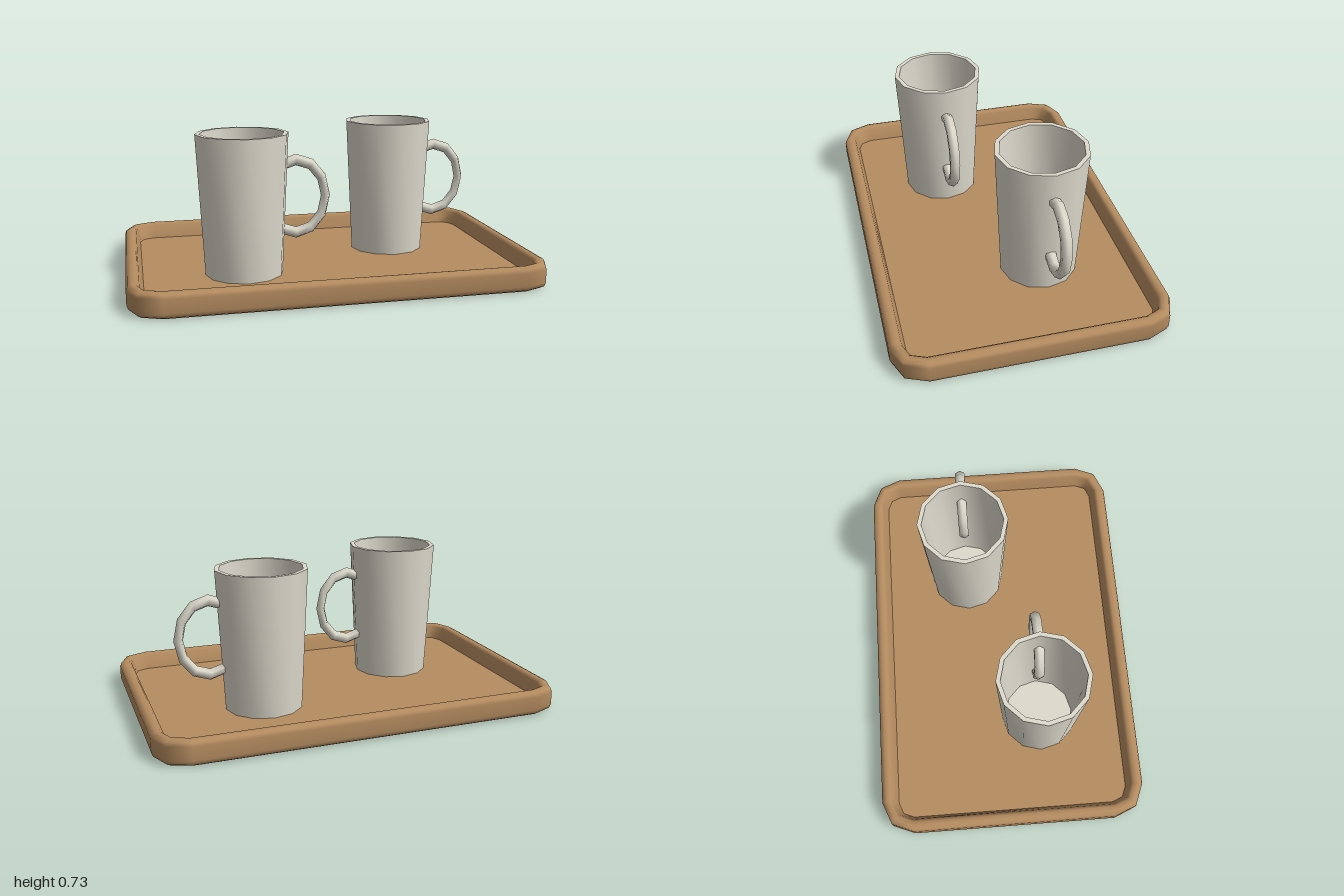
import * as THREE from 'three';
import { toCreasedNormals } from 'three/addons/utils/BufferGeometryUtils.js';

const wood = new THREE.MeshStandardMaterial({ color: 0xb58c60 });
const ceramic = new THREE.MeshStandardMaterial({ color: 0xdedacd });

// Rounded-rectangle outline, pulled in by an inset, two facets per corner
function outline(inset, y) {
  const r = 0.155 - inset;
  const pts = [];
  [[1, 1], [-1, 1], [-1, -1], [1, -1]].forEach(([sx, sz], corner) => {
    for (let k = 0; k < 3; k++) {
      const a = (corner + k / 2) * Math.PI / 2;
      pts.push([sx * 0.845 + r * Math.cos(a), y, sz * 0.51 + r * Math.sin(a)]);
    }
  });
  return pts;
}

// Tray: outline loops joined in bands, with separate flat caps
function trayGeometry() {
  const profile = [
    [0.025, 0], [0.007, 0.01], [0, 0.03], [0, 0.095], [0.007, 0.112],
    [0.025, 0.12], [0.045, 0.12], [0.06, 0.108], [0.08, 0.04],
  ];
  const loops = profile.map(([inset, y]) => outline(inset, y));
  const n = loops[0].length;
  const verts = loops.flat();
  const index = [];
  for (let i = 0; i < loops.length - 1; i++) {
    for (let j = 0; j < n; j++) {
      const a = i * n + j, b = i * n + (j + 1) % n;
      index.push(a, a + n, b, b, a + n, b + n);
    }
  }
  const cap = (loop, up) => {
    const c = verts.length;
    verts.push([0, loop[0][1], 0], ...loop);
    for (let j = 0; j < n; j++) {
      const a = c + 1 + j, b = c + 1 + (j + 1) % n;
      index.push(c, up ? b : a, up ? a : b);
    }
  };
  cap(loops[0], false);
  cap(loops[loops.length - 1], true);
  const g = new THREE.BufferGeometry();
  g.setAttribute('position', new THREE.Float32BufferAttribute(verts.flat(), 3));
  g.setIndex(index);
  g.computeVertexNormals();
  return g;
}

function mug(name, x, z) {
  const group = new THREE.Group();
  group.name = name;

  // Tapered hollow cup
  const profile = [[0, 0], [0.191, 0], [0.225, 0.69], [0.203, 0.69], [0.172, 0.04], [0, 0.04]]
    .map(([r, y]) => new THREE.Vector2(r, y));
  const cup = new THREE.Mesh(toCreasedNormals(new THREE.LatheGeometry(profile, 12), 0.8), ceramic);
  cup.name = 'cup';

  // Oval ring handle, passing through the wall
  const handle = new THREE.Mesh(new THREE.TorusGeometry(0.182, 0.028, 6, 12), ceramic);
  handle.name = 'handle';
  handle.scale.x = 0.81;
  handle.position.set(0.26, 0.37, 0);

  group.add(cup, handle);
  group.position.set(x, 0.04, z);
  return group;
}

export function createModel() {
  const model = new THREE.Group();
  model.name = 'trayWithMugs';
  const tray = new THREE.Mesh(trayGeometry(), wood);
  tray.name = 'tray';
  model.add(tray, mug('frontMug', -0.43, 0.17), mug('backMug', 0.39, -0.155));
  return model;
}
